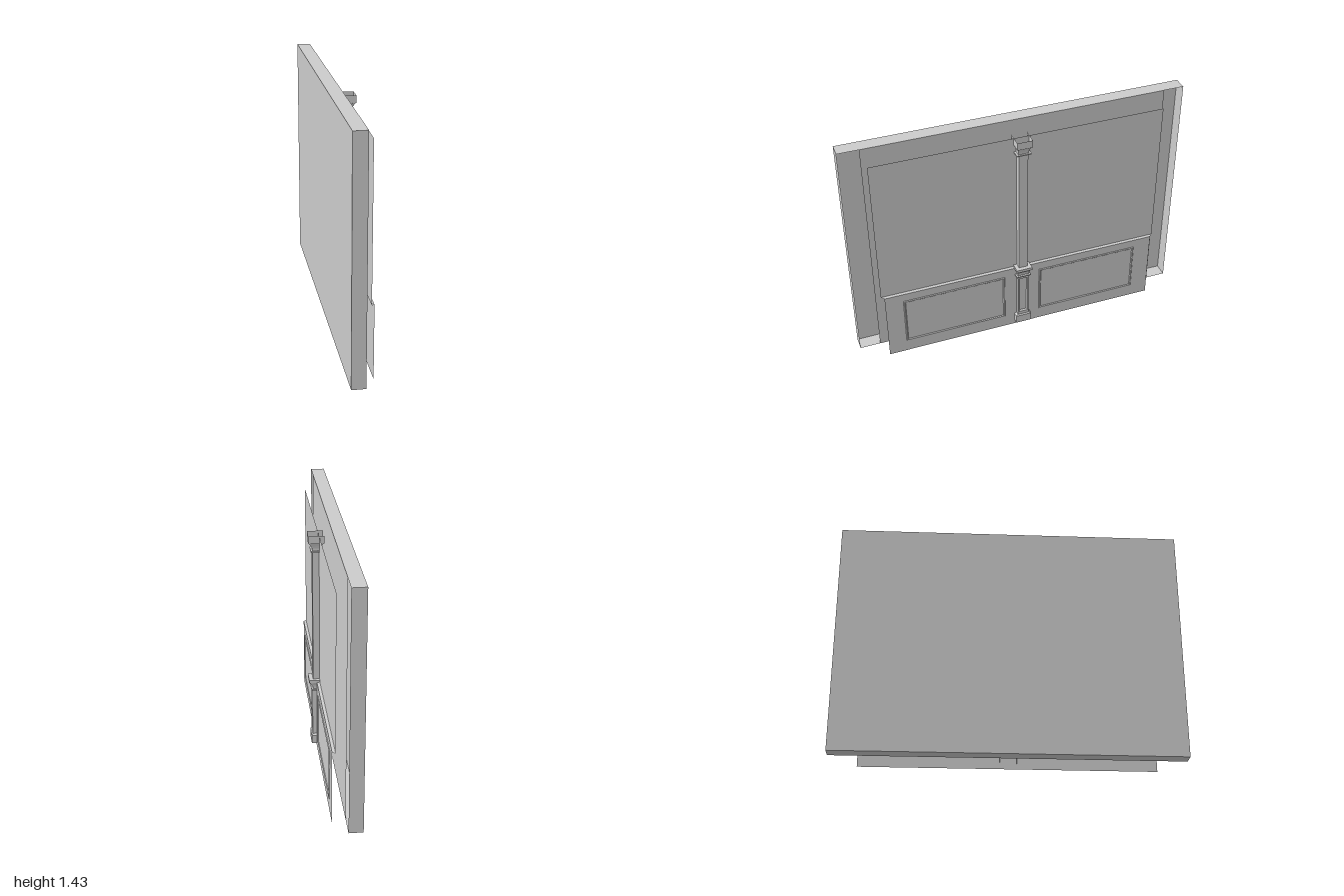
import * as THREE from 'three';

const material = new THREE.MeshStandardMaterial({ color: 0xcccccc, flatShading: true, side: THREE.DoubleSide });

// Flat-shaded skin through rows of [x, y, z] points; closed joins each row's ends.
function loft(name, rows, closed = false) {
  const n = rows[0].length;
  const index = [];
  for (let r = 0; r + 1 < rows.length; r++) {
    for (let i = 0; i < (closed ? n : n - 1); i++) {
      const a = r * n + i, b = r * n + (i + 1) % n;
      index.push(a, b, b + n, a, b + n, a + n);
    }
  }
  const indexed = new THREE.BufferGeometry();
  indexed.setAttribute('position', new THREE.Float32BufferAttribute(rows.flat(2), 3));
  indexed.setIndex(index);
  const geometry = indexed.toNonIndexed();
  geometry.computeVertexNormals();
  const mesh = new THREE.Mesh(geometry, material);
  mesh.name = name;
  return mesh;
}

// Rectangle in a plane of constant x, anticlockwise seen from +x
const rect = (x, y0, y1, z0, z1) => [[x, y0, z1], [x, y0, z0], [x, y1, z0], [x, y1, z1]];

// Filled sheet facing +x
const sheet = (name, ...args) => {
  const [a, b, c, d] = rect(...args);
  return loft(name, [[a, b], [d, c]]);
};

// Three-sided hollow post, open at the back, from [y, halfDepth, halfWidth] levels
const post = (name, levels, cx = 0.05) => loft(name, levels.map(([y, dx, dz]) => [
  [cx - dx, y, dz], [cx + dx, y, dz], [cx + dx, y, -dz], [cx - dx, y, -dz],
]));

export function createModel() {
  const model = new THREE.Group();

  // Wall: a hollow shell, its front sheet leaving a slot at each end
  const wall = new THREE.Group();
  wall.name = 'wall';
  wall.add(
    loft('wallEdges', [rect(-0.1, 0.04, 1.43, -1, 1), rect(-0.02, 0.04, 1.43, -1, 1)], true),
    sheet('wallBack', -0.1, 0.04, 1.43, -1, 1),
    sheet('wallFront', -0.02, 0.04, 1.43, -0.88, 0.88),
  );
  model.add(wall);

  // Panelling: upper sheet, ledge and lower sheet in one folded skin
  model.add(loft('panelling', [
    [[0.05, 0, 0.84], [0.05, 0, -0.84]],
    [[0.05, 0.44, 0.84], [0.05, 0.44, -0.84]],
    [[0.033, 0.443, 0.857], [0.033, 0.443, -0.857]],
    [[0.033, 1.345, 0.857], [0.033, 1.345, -0.857]],
  ]));

  // Raised moulding around each lower panel
  for (const side of [-1, 1]) {
    const profile = [[0, 0], [0.004, 0.005], [0.008, 0.005], [0.013, 0]];
    model.add(loft('panelMoulding', profile.map(([inset, rise]) =>
      rect(0.05 + rise, 0.077 + inset, 0.388 - inset,
        side * 0.42 - 0.312 + inset, side * 0.42 + 0.312 - inset)), true));
  }

  // Pilaster shaft and capital
  model.add(post('pilasterShaft', [[0.455, 0.021, 0.027], [1.255, 0.021, 0.027]]));
  model.add(post('capital', [
    [1.252, 0.021, 0.027], [1.252, 0.031, 0.043], [1.259, 0.031, 0.043], [1.259, 0.021, 0.031],
    [1.272, 0.023, 0.031], [1.287, 0.03, 0.034], [1.303, 0.041, 0.038],
    [1.305, 0.045, 0.045], [1.35, 0.045, 0.045],
  ]));

  // Pedestal cap and base
  model.add(post('pedestalCap', [
    [0.387, 0.023, 0.035], [0.387, 0.032, 0.044], [0.394, 0.032, 0.044], [0.394, 0.021, 0.035],
    [0.408, 0.024, 0.035], [0.42, 0.031, 0.037], [0.435, 0.041, 0.042],
    [0.437, 0.045, 0.048], [0.455, 0.045, 0.048], [0.455, 0.021, 0.027],
  ]));
  model.add(post('pedestalBase', [
    [0.03, 0.032, 0.048], [0.082, 0.032, 0.048], [0.09, 0.024, 0.035],
  ]));

  // Pedestal sides, and a front with a bevelled sunken panel
  const pedestal = new THREE.Group();
  pedestal.name = 'pedestal';
  for (const z of [-0.035, 0.035]) {
    pedestal.add(loft('pedestalSide', [
      [[0.028, 0.085, z], [0.075, 0.085, z]], [[0.028, 0.39, z], [0.075, 0.39, z]],
    ]));
  }
  pedestal.add(
    loft('pedestalFront', [
      rect(0.075, 0.085, 0.39, -0.035, 0.035),
      rect(0.075, 0.11, 0.37, -0.027, 0.027),
      rect(0.067, 0.117, 0.363, -0.021, 0.021),
    ], true),
    sheet('pedestalPanel', 0.067, 0.117, 0.363, -0.021, 0.021),
  );
  model.add(pedestal);

  return model;
}
